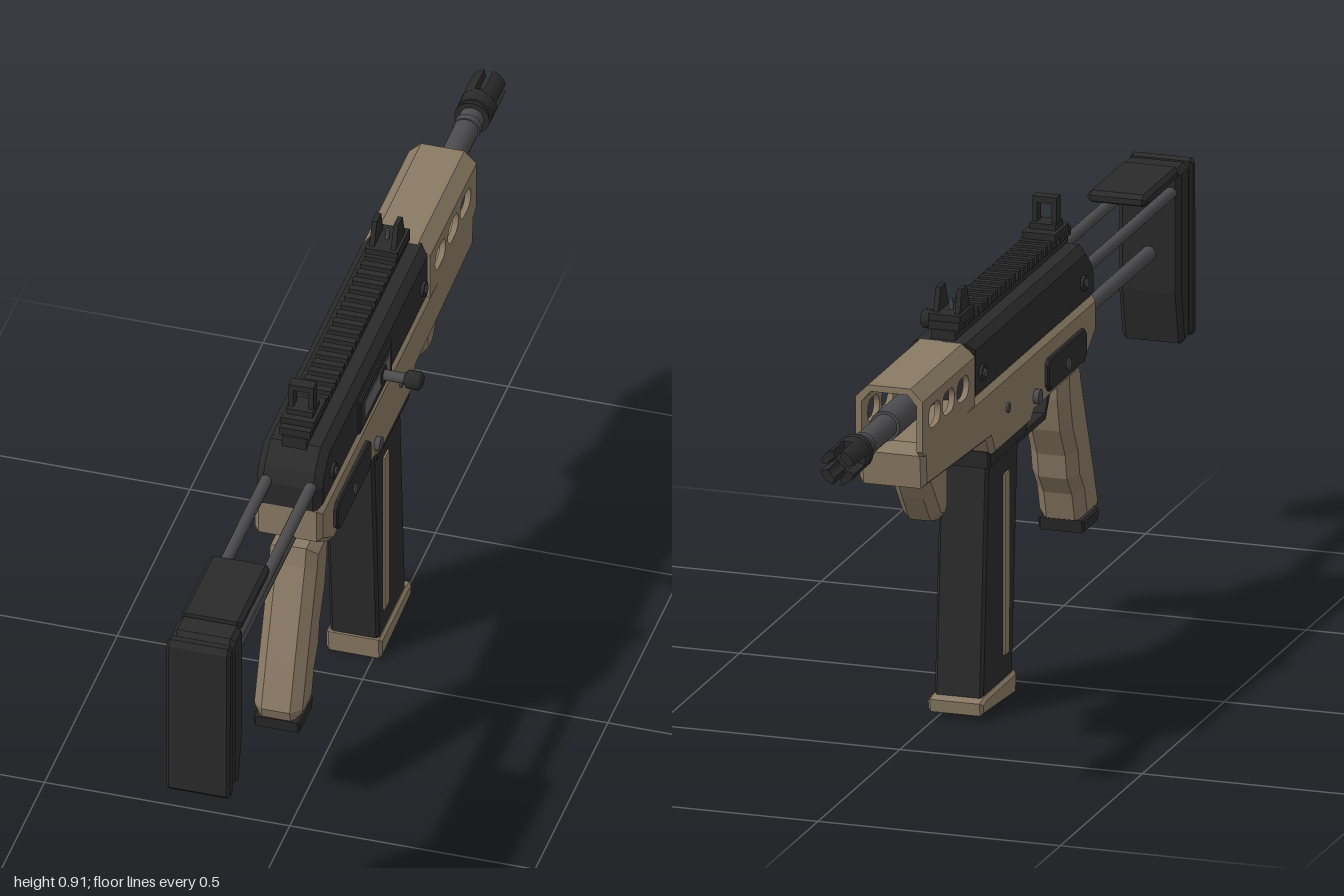
import * as THREE from 'three';

const mat = (name, color) => Object.assign(new THREE.MeshStandardMaterial({ color }), { name });
const CX = -0.04; // centre plane of the body

export function createModel() {
  const tan = mat('tan polymer', 0x8a7a64);
  const black = mat('black', 0x2a2a2a);
  const steel = mat('dark steel', 0x4c4c4e);
  const grey = mat('grey bolt metal', 0x626262);
  const root = new THREE.Group();
  root.name = 'carbine';

  const add = (name, geo, m, x = 0, y = 0, z = 0) => {
    const mesh = new THREE.Mesh(geo, m);
    mesh.name = name;
    mesh.position.set(x, y, z);
    root.add(mesh);
    return mesh;
  };
  const box = (name, m, w, h, d, x, y, z) => add(name, new THREE.BoxGeometry(w, h, d), m, x, y, z);
  const poly = pts => new THREE.Shape(pts.map(p => new THREE.Vector2(p[0], p[1])));

  // Side outline given as [z, y], extruded across the body with a chamfer
  const side = (name, m, pts, width, bevel = 0, x = CX, holes = []) => {
    const shape = poly(pts);
    shape.holes.push(...holes);
    const depth = width - 2 * bevel;
    const geo = new THREE.ExtrudeGeometry(shape, {
      depth, bevelEnabled: bevel > 0, bevelSize: bevel, bevelThickness: bevel,
      bevelOffset: -bevel, bevelSegments: 1, curveSegments: 8,
    });
    geo.translate(0, 0, -depth / 2).rotateY(-Math.PI / 2);
    return add(name, geo, m, x);
  };
  // Cross-section given as [x, y], extruded from z0 towards z1
  const along = (name, m, shape, z0, z1, x = CX, y = 0) =>
    add(name, new THREE.ExtrudeGeometry(shape, { depth: z1 - z0, bevelEnabled: false, curveSegments: 6 }), m, x, y, z0);
  const rodZ = (name, m, r, z0, z1, x, y, r2 = r) =>
    add(name, new THREE.CylinderGeometry(r, r2, z1 - z0, 20).rotateX(Math.PI / 2), m, x, y, (z0 + z1) / 2);
  const rodX = (name, m, r, x0, x1, y, z) =>
    add(name, new THREE.CylinderGeometry(r, r, x1 - x0, 16).rotateZ(Math.PI / 2), m, (x0 + x1) / 2, y, z);

  // Receiver halves
  side('upperReceiver', black,
    [[0.38, 0.675], [0.38, 0.735], [0.365, 0.765], [0.325, 0.8], [-0.37, 0.8], [-0.37, 0.675]], 0.134, 0.016);
  side('lowerReceiver', tan,
    [[0.38, 0.682], [0.38, 0.61], [0.3, 0.555], [0, 0.553], [-0.02, 0.535], [-0.245, 0.535],
      [-0.27, 0.575], [-0.665, 0.592], [-0.672, 0.66], [-0.655, 0.682]], 0.138, 0.01);

  // Ventilated upper handguard: two slotted walls under a chamfered roof
  for (const s of [-1, 1]) {
    const slots = [-0.437, -0.525, -0.61].map(z => {
      const p = new THREE.Path();
      p.moveTo(z - 0.012, 0.706);
      p.lineTo(z + 0.012, 0.706);
      p.absarc(z + 0.012, 0.73, 0.024, -Math.PI / 2, Math.PI / 2, false);
      p.lineTo(z - 0.012, 0.754);
      p.absarc(z - 0.012, 0.73, 0.024, Math.PI / 2, Math.PI * 1.5, false);
      return p;
    });
    side('handguardWall', tan, [[-0.365, 0.675], [-0.365, 0.765], [-0.684, 0.765], [-0.684, 0.672], [-0.67, 0.66]],
      0.012, 0, CX + s * 0.063, slots);
  }
  along('handguardRoof', tan, poly([[0.069, 0.765], [0.069, 0.775], [0.044, 0.8], [-0.044, 0.8], [-0.069, 0.775],
    [-0.069, 0.765], [-0.057, 0.765], [-0.038, 0.787], [0.038, 0.787], [0.057, 0.765]]), -0.684, -0.365);

  // Barrel and slotted flash hider
  const BY = 0.727;
  rodZ('barrel', steel, 0.025, -0.9, -0.36, CX, BY);
  rodZ('barrelCollar', steel, 0.031, -0.71, -0.42, CX, BY);
  rodZ('barrelStep', steel, 0.028, -0.86, -0.845, CX, BY);
  rodZ('flashHiderNeck', black, 0.036, -0.905, -0.885, CX, BY, 0.03).rotation.y = 0;
  rodZ('flashHiderBody', black, 0.036, -0.935, -0.9, CX, BY);
  for (let i = 0; i < 4; i++) {
    const a = i * Math.PI / 2 + 0.25, b = (i + 1) * Math.PI / 2 - 0.25;
    const prong = new THREE.Shape();
    prong.absarc(0, 0, 0.036, a, b, false);
    prong.absarc(0, 0, 0.02, b, a, true);
    along('flashHiderProng', black, prong, -1, -0.93, CX, BY);
  }

  // Top rail
  box('railBase', black, 0.05, 0.025, 0.69, CX, 0.807, -0.01);
  for (let i = 0; i < 25; i++) box('railTooth', black, 0.064, 0.018, 0.015, CX, 0.826, 0.323 - i * 0.0278);

  // Rear sight: open frame on a stepped base
  box('rearSightBase', black, 0.068, 0.016, 0.085, CX, 0.838, 0.27);
  box('rearSightFoot', black, 0.054, 0.016, 0.045, CX, 0.85, 0.275);
  const frame = poly([[-0.025, 0.845], [0.025, 0.845], [0.025, 0.91], [-0.025, 0.91]]);
  frame.holes.push(poly([[-0.015, 0.858], [-0.015, 0.897], [0.015, 0.897], [0.015, 0.858]]));
  along('rearSightFrame', black, frame, 0.264, 0.288);

  // Front sight: two ears and a post
  box('frontSightBase', black, 0.066, 0.02, 0.085, CX, 0.838, -0.305);
  for (const s of [-1, 1])
    side('frontSightEar', black, [[-0.27, 0.845], [-0.29, 0.895], [-0.32, 0.895], [-0.335, 0.845]], 0.01, 0, CX + s * 0.022);
  add('frontSightPost', new THREE.CylinderGeometry(0.004, 0.005, 0.03, 8), steel, CX, 0.855, -0.305);

  // Sliding stock
  for (const s of [-1, 1]) rodZ('upperStockRod', steel, 0.012, 0.35, 0.92, CX + s * 0.045, 0.735);
  rodZ('lowerStockRod', steel, 0.015, 0.35, 0.92, CX, 0.607);
  side('stockButt', black, [[0.9, 0.775], [0.91, 0.783], [0.955, 0.783], [0.965, 0.77], [0.965, 0.43],
    [0.935, 0.418], [0.922, 0.422], [0.9, 0.53]], 0.128, 0.01);
  side('stockSpacer', black, [[0.975, 0.76], [0.975, 0.44], [0.955, 0.44], [0.955, 0.76]], 0.108);
  side('buttPad', black, [[0.972, 0.78], [0.99, 0.783], [0.997, 0.77], [1, 0.43], [0.99, 0.42], [0.972, 0.43]], 0.13, 0.006);
  side('cheekRest', black, [[0.905, 0.788], [0.905, 0.763], [0.72, 0.76], [0.7, 0.768], [0.7, 0.78], [0.71, 0.788]], 0.122, 0.008);

  // Pistol grip
  side('pistolGrip', tan, [[0.35, 0.565], [0.25, 0.565], [0.255, 0.5], [0.272, 0.43], [0.305, 0.37], [0.315, 0.32],
    [0.345, 0.28], [0.365, 0.215], [0.455, 0.215], [0.464, 0.245], [0.43, 0.34], [0.36, 0.525]], 0.098, 0.02);
  side('gripFoot', black, [[0.46, 0.222], [0.455, 0.195], [0.368, 0.195], [0.362, 0.222]], 0.094, 0.004);

  // Trigger and guard
  side('triggerGuard', black, [[0.255, 0.555], [0.205, 0.475], [-0.008, 0.475], [-0.008, 0.56], [0.006, 0.56],
    [0.006, 0.488], [0.2, 0.488], [0.24, 0.555]], 0.045);
  side('trigger', steel, [[0.13, 0.56], [0.125, 0.525], [0.15, 0.492], [0.14, 0.488], [0.112, 0.52], [0.112, 0.56]], 0.02);

  // Magazine
  side('magazineWell', black, [[-0.018, 0.545], [-0.022, 0.515], [-0.25, 0.51], [-0.254, 0.545]], 0.124, 0.005);
  side('magazineBody', black, [[-0.042, 0.52], [-0.228, 0.52], [-0.262, 0.04], [-0.078, 0.04]], 0.1, 0.006);
  for (const s of [-1, 1])
    side('magazineStripe', tan, [[-0.106, 0.465], [-0.136, 0.465], [-0.138, 0.095], [-0.108, 0.095]], 0.006, 0, CX + s * 0.051);
  side('magazineFloorplate', tan, [[-0.072, 0.046], [-0.075, 0], [-0.28, 0.012], [-0.284, 0.038], [-0.255, 0.044]], 0.114, 0.006);

  // Angled foregrip
  side('foregrip', tan, [[-0.43, 0.6], [-0.43, 0.488], [-0.452, 0.462], [-0.495, 0.472], [-0.54, 0.53], [-0.585, 0.6]], 0.08, 0.018);

  // Side panels and pins on both sides
  for (const s of [-1, 1]) {
    const pin = (name, m, r, a, b, y, z) =>
      rodX(name, m, r, Math.min(CX + s * a, CX + s * b), Math.max(CX + s * a, CX + s * b), y, z);
    side('sidePanel', black, [[0.297, 0.63], [0.285, 0.642], [0.075, 0.642], [0.062, 0.63], [0.062, 0.59],
      [0.078, 0.574], [0.28, 0.574], [0.297, 0.59]], 0.014, 0.003, CX + s * 0.071);
    pin('panelScrew', steel, 0.012, 0.07, 0.081, 0.6, 0.18);
    pin('receiverPin', steel, 0.015, 0.06, 0.08, 0.585, 0.005);
    pin('smallPin', steel, 0.01, 0.06, 0.073, 0.612, -0.165);
    for (const z of [0.3, -0.32]) {
      pin('upperPin', black, 0.016, 0.06, 0.074, 0.73, z);
      pin('upperPinCore', steel, 0.009, 0.06, 0.077, 0.73, z);
    }
  }

  // Ejection port, bolt and charging handle on the left side
  side('ejectionPortFrame', black, [[0.125, 0.768], [0.125, 0.692], [-0.095, 0.692], [-0.095, 0.768]], 0.01, 0.003, 0.028);
  side('bolt', grey, [[0.098, 0.75], [0.098, 0.712], [-0.075, 0.712], [-0.075, 0.75]], 0.006, 0, 0.032);
  rodX('handleSeat', black, 0.02, 0.025, 0.037, 0.732, -0.025);
  rodX('handleShaft', steel, 0.011, 0.02, 0.09, 0.732, -0.025);
  const knob = [[0, 0], [0.013, 0], [0.019, 0.006], [0.019, 0.029], [0.013, 0.035], [0, 0.035]];
  add('handleKnob', new THREE.LatheGeometry(knob.map(p => new THREE.Vector2(...p)), 16).rotateZ(-Math.PI / 2),
    black, 0.08, 0.732, -0.025);

  return root;
}
